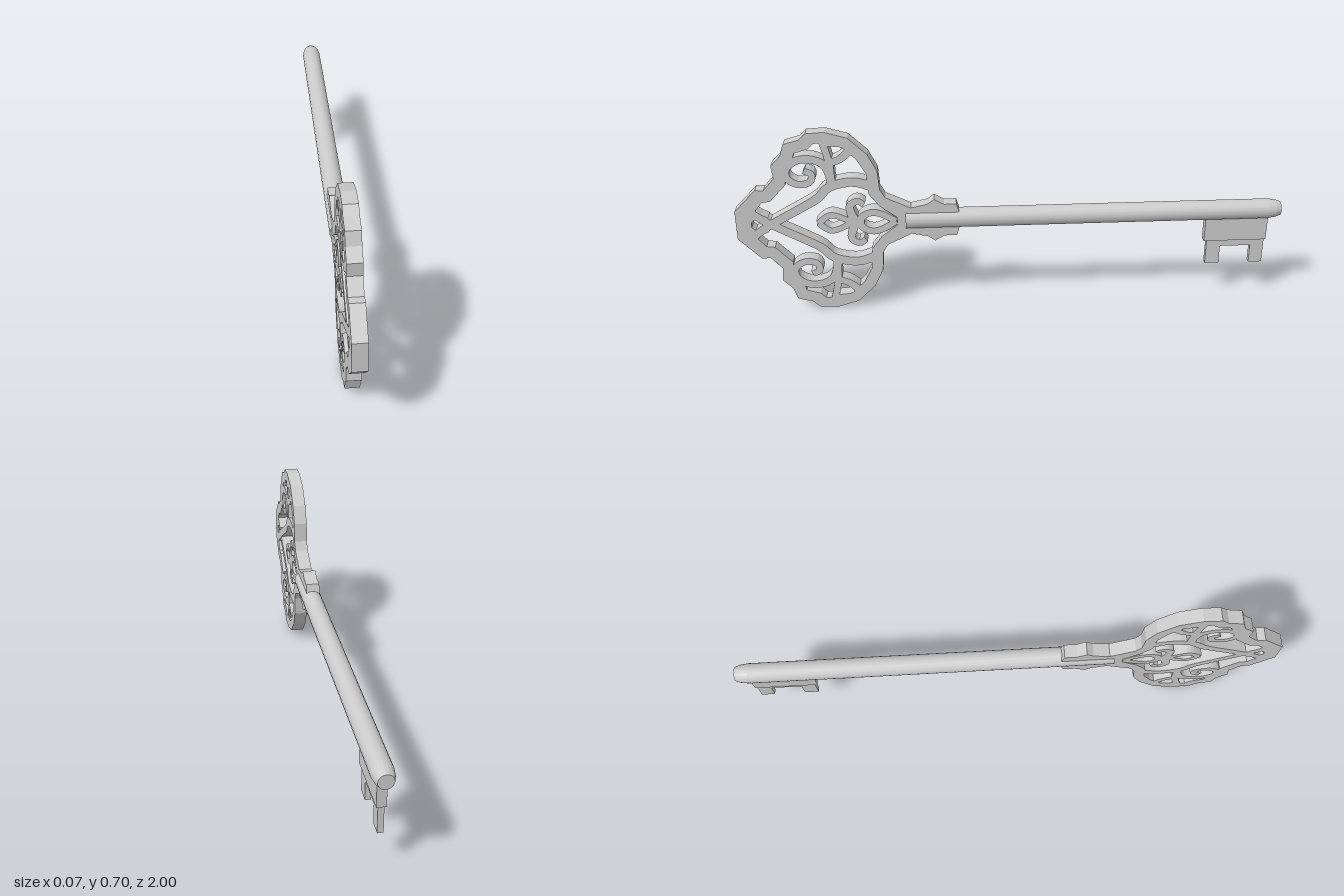
import * as THREE from 'three';

const MID = 0.352; // height of the shaft axis
const THICK = 0.05;
const flat = new THREE.MeshStandardMaterial({ color: 0xcccccc, flatShading: true });
const smooth = new THREE.MeshStandardMaterial({ color: 0xcccccc });

const vec = ([z, v]) => new THREE.Vector2(z, v);

// Extrude a shape drawn in (z, y) across x, centred on x = 0
function plate(name, shape, thick) {
  const geo = new THREE.ExtrudeGeometry(shape, { depth: thick, bevelEnabled: false, curveSegments: 8 });
  geo.translate(0, 0, -thick / 2).rotateY(-Math.PI / 2);
  const mesh = new THREE.Mesh(geo, flat);
  mesh.name = name;
  return mesh;
}

// Closed outline from its upper half, mirrored about the shaft axis
const mirrored = (half) => [...half, ...half.map(([z, v]) => [z, -v]).reverse()].map(vec);

// Flat strap following a curve, tapering from width w0 to w1
function strap(name, points, w0, w1, side, steps = points.length * 3) {
  const curve = new THREE.SplineCurve(points.map(([z, v]) => new THREE.Vector2(z, v * side)));
  const a = [], b = [];
  for (let i = 0; i <= steps; i++) {
    const t = i / steps, p = curve.getPoint(t), d = curve.getTangent(t);
    const n = new THREE.Vector2(-d.y, d.x).multiplyScalar((w0 + (w1 - w0) * t) / 2);
    a.push(p.clone().add(n));
    b.push(p.clone().sub(n));
  }
  return plate(name, new THREE.Shape([...a, ...b.reverse()]), THICK);
}

function createBow() {
  const bow = new THREE.Group();
  bow.name = 'bow';

  // Scalloped frame, running into the notched collar on the shaft
  const frame = new THREE.Shape(mirrored([
    [1, 0.055], [0.92, 0.137], [0.89, 0.135], [0.85, 0.18], [0.855, 0.23], [0.82, 0.265],
    [0.805, 0.31], [0.75, 0.325], [0.725, 0.348], [0.66, 0.352], [0.58, 0.328], [0.515, 0.265],
    [0.483, 0.2], [0.478, 0.127], [0.46, 0.095], [0.37, 0.052], [0.31, 0.065], [0.285, 0.083],
    [0.25, 0.063], [0.205, 0.063], [0.195, 0.03],
  ]));
  frame.holes.push(new THREE.Path(mirrored([
    [0.945, 0.035], [0.9, 0.088], [0.87, 0.092], [0.81, 0.155], [0.812, 0.215], [0.78, 0.24],
    [0.77, 0.275], [0.72, 0.29], [0.7, 0.31], [0.66, 0.312], [0.6, 0.292], [0.553, 0.245],
    [0.523, 0.19], [0.518, 0.11], [0.48, 0.06], [0.42, 0.015],
  ])));
  bow.add(plate('frame', frame, THICK));

  for (const s of [1, -1]) {
    // Heart straps crossing at the front
    bow.add(strap('heartStrap', [[0.945, -0.05], [0.88, -0.003], [0.756, 0.066], [0.7, 0.1],
      [0.655, 0.143], [0.57, 0.16], [0.494, 0.135]], 0.03, 0.036, s));
    // Spiral scroll inside each lobe
    bow.add(strap('scroll', [[0.645, 0.145], [0.66, 0.215], [0.7, 0.247], [0.757, 0.25], [0.8, 0.222],
      [0.804, 0.182], [0.767, 0.156], [0.724, 0.163], [0.715, 0.193], [0.742, 0.207]], 0.032, 0.024, s));
    // Forked strut holding the scroll to the frame
    bow.add(strap('strut', [[0.648, 0.15], [0.65, 0.235], [0.672, 0.33]], 0.026, 0.026, s));
    bow.add(strap('strutFork', [[0.65, 0.235], [0.61, 0.25], [0.57, 0.285]], 0.026, 0.03, s));
    bow.add(strap('strutBridge', [[0.665, 0.312], [0.6, 0.307]], 0.024, 0.024, s));
    // Small spur behind the front edge
    bow.add(strap('spur', [[0.955, 0.02], [0.925, 0.035], [0.885, 0.022]], 0.03, 0.01, s));
    // Central flower: loop, side curl and rear petal
    bow.add(strap('loop', [[0.705, 0], [0.665, 0.03], [0.625, 0.022], [0.585, 0]], 0.024, 0.022, s));
    bow.add(strap('curl', [[0.57, 0], [0.585, 0.035], [0.588, 0.066], [0.562, 0.084],
      [0.538, 0.07]], 0.034, 0.022, s));
    bow.add(strap('petal', [[0.56, 0.004], [0.535, 0.03], [0.5, 0.037], [0.46, 0.022],
      [0.425, 0]], 0.028, 0.024, s));
  }
  bow.add(strap('stem', [[0.61, 0], [0.54, 0]], 0.03, 0.03, 1));
  bow.position.x = -0.003;
  bow.rotation.z = 0.007; // slight lean
  return bow;
}

function createShaft() {
  const shaft = new THREE.Group();
  shaft.name = 'shaft';
  // Each section has its own profile, so the edges between them stay sharp
  const turned = (name, pts, mat) => {
    const geo = new THREE.LatheGeometry(pts.map(vec), 20).rotateX(-Math.PI / 2);
    const mesh = new THREE.Mesh(geo, mat);
    mesh.name = name;
    shaft.add(mesh);
  };
  turned('rod', [[0.037, -0.39], [0.037, 0.95]], smooth);
  turned('tip', [[0.037, 0.95], [0.033, 0.98], [0.026, 1], [0, 1]], flat);
  turned('rodEnd', [[0, -0.39], [0.037, -0.39]], flat);
  return shaft;
}

function createBit() {
  const bit = new THREE.Group();
  bit.name = 'bit';
  // Thick upper block and a thinner two-toothed blade below it
  const block = [[-0.72, -0.01], [-0.72, -0.122], [-0.955, -0.122], [-0.955, -0.01]];
  const teeth = [[-0.732, -0.05], [-0.732, -0.22], [-0.785, -0.22], [-0.785, -0.148],
    [-0.9, -0.148], [-0.9, -0.22], [-0.95, -0.22], [-0.95, -0.05]];
  bit.add(plate('bitBlock', new THREE.Shape(block.map(vec)), 0.032));
  bit.add(plate('bitTeeth', new THREE.Shape(teeth.map(vec)), 0.02));
  return bit;
}

export function createModel() {
  const key = new THREE.Group();
  key.name = 'key';
  key.add(createBow(), createShaft(), createBit());
  key.position.y = MID;
  return key;
}
